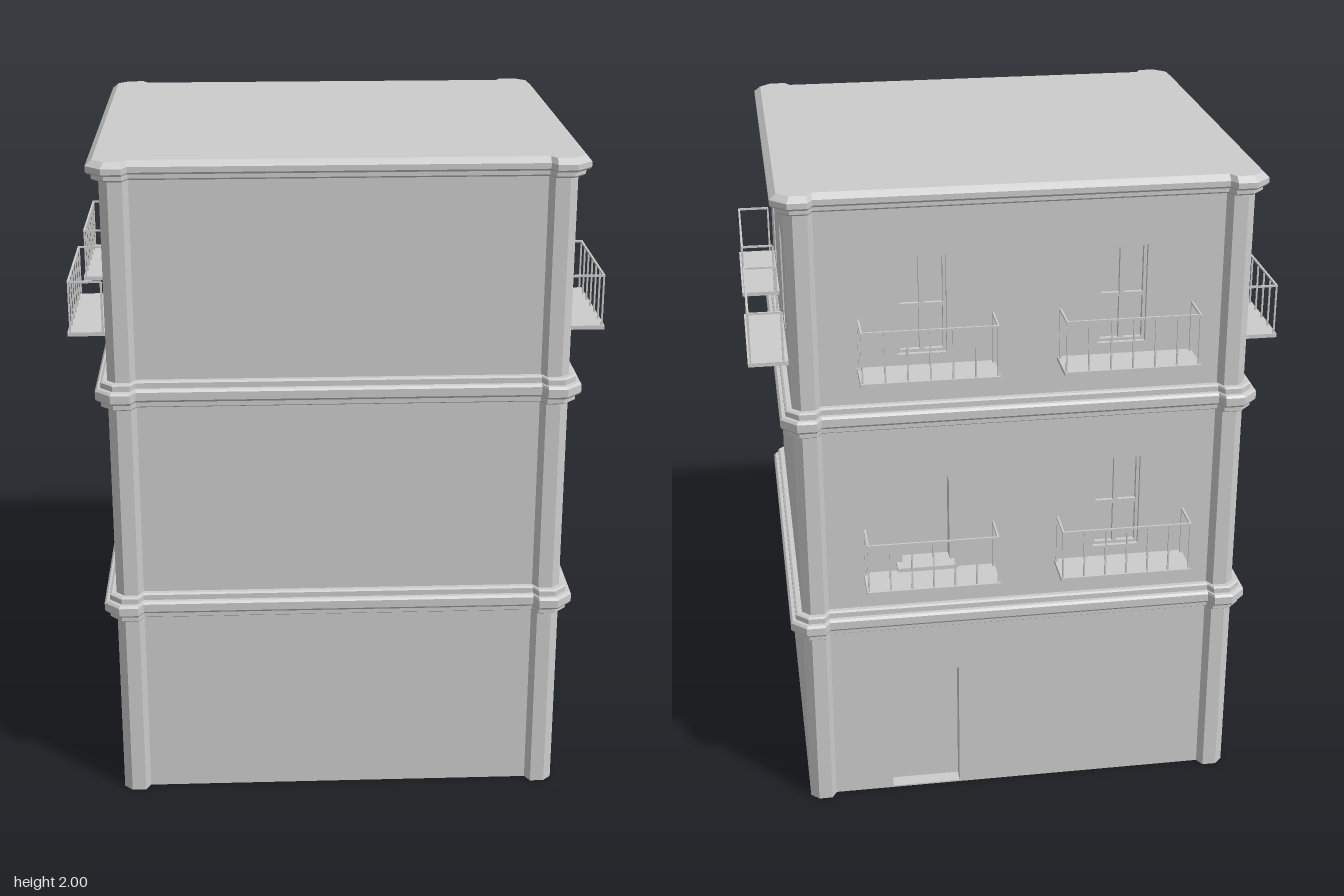
import * as THREE from 'three';

const grey = new THREE.MeshStandardMaterial({ color: 0xcccccc, flatShading: true, side: THREE.DoubleSide });
const CZ = 0.03; // depth centre of the building

function add(parent, name, geometry, x = 0, y = 0, z = 0) {
  const mesh = new THREE.Mesh(geometry, grey);
  mesh.name = name;
  mesh.position.set(x, y, z);
  parent.add(mesh);
  return mesh;
}
const box = (parent, name, w, h, d, x, y, z) => add(parent, name, new THREE.BoxGeometry(w, h, d), x, y, z);

// Plan of the building with corner pilasters, grown outward by d
function ring(d) {
  const q = [[0.59, 0.583 + d], [0.605, 0.61 + d], [0.647 + 0.41 * d, 0.61 + d], [0.672 + d, 0.585 + 0.41 * d]];
  const r = [...q].reverse();
  return [
    ...q, ...r.map(([x, z]) => [x, -z]),
    ...q.map(([x, z]) => [-x, -z]), ...r.map(([x, z]) => [-x, z]),
  ].map(([x, z]) => [x, z + CZ]);
}

// Vertical profile as [outward offset, height]
const band = (y) => [
  [0, y], [0.014, y], [0.02, y + 0.004], [0.02, y + 0.02], [0.03, y + 0.021], [0.036, y + 0.028],
  [0.036, y + 0.052], [0.03, y + 0.059], [0.02, y + 0.06], [0.02, y + 0.076], [0.014, y + 0.08], [0, y + 0.08],
];
const profile = [
  [0, 0], ...band(0.594), ...band(1.271),
  [0, 1.94], [0.015, 1.943], [0.02, 1.948], [0.02, 1.96], [0.03, 1.962], [0.035, 1.968], [0.035, 1.984], [0.016, 2],
];

// Lofted shell; storeys of the back and sides are left out for separate wall panels
function shellGeometry() {
  const pos = [];
  for (let k = 0; k < profile.length - 1; k++) {
    const [d0, y0] = profile[k], [d1, y1] = profile[k + 1];
    const lo = ring(d0), hi = ring(d1);
    for (let i = 0; i < lo.length; i++) {
      if (y1 - y0 > 0.5 && [3, 7, 11].includes(i)) continue;
      const j = (i + 1) % lo.length;
      const a = [lo[i][0], y0, lo[i][1]], b = [lo[j][0], y0, lo[j][1]];
      const c = [hi[j][0], y1, hi[j][1]], e = [hi[i][0], y1, hi[i][1]];
      pos.push(...a, ...b, ...c, ...a, ...c, ...e);
    }
  }
  const g = new THREE.BufferGeometry();
  g.setAttribute('position', new THREE.Float32BufferAttribute(pos, 3));
  g.computeVertexNormals();
  return g;
}

// Outline of an opening {u, y, w, h, arch}, shrunk by inset
function outline(o, inset = 0, Type = THREE.Path) {
  const l = o.u - o.w / 2 + inset, r = o.u + o.w / 2 - inset;
  const b = o.y + inset, t = o.y + o.h - inset;
  const p = new Type();
  p.moveTo(l, b);
  p.lineTo(r, b);
  if (o.arch) {
    const rad = (r - l) / 2;
    p.lineTo(r, t - rad);
    p.absarc(o.u, t - rad, rad, 0, Math.PI, false);
  } else {
    p.lineTo(r, t);
    p.lineTo(l, t);
  }
  p.lineTo(l, b);
  return p;
}

function surround(parent, name, o, inset, depth, z) {
  const s = outline(o, 0, THREE.Shape);
  s.holes.push(outline(o, inset));
  add(parent, name, new THREE.ExtrudeGeometry(s, { depth, bevelEnabled: false, curveSegments: 10 }), 0, 0, z);
}

function addOpening(parent, o) {
  const g = new THREE.Group();
  g.name = o.kind;
  const deep = o.kind === 'window' ? 0.03 : 0.045;
  surround(g, 'reveal', o, 0.003, deep, -deep);
  add(g, 'panel', new THREE.ShapeGeometry(outline(o, 0, THREE.Shape), 10), 0, 0, -deep);
  if (o.kind === 'window') {
    surround(g, 'frame', o, 0.012, 0.015, -0.028);
    box(g, 'mullion', 0.014, o.h, 0.014, o.u, o.y + o.h / 2, -0.022);
    box(g, 'transom', o.w, 0.012, 0.012, o.u, o.y + o.h * 0.48, -0.022);
  }
  parent.add(g);
}

function addBalcony(parent, u, y, depth) {
  const g = new THREE.Group();
  g.name = 'balcony';
  g.position.set(u, y, 0);
  const w = 0.4, h = 0.166, t = 0.006, out = depth - 0.008, half = w / 2 - 0.006;
  box(g, 'slab', w, 0.012, depth, 0, 0.006, depth / 2);
  box(g, 'frontRail', half * 2 + t, t, t, 0, h - t / 2, out);
  for (let i = 0; i <= 6; i++) box(g, 'baluster', 0.005, h - 0.01, 0.005, -half + (i * half) / 3, h / 2, out);
  for (const s of [-1, 1]) {
    box(g, 'sideRail', t, t, out - 0.014, s * half, h - t / 2, (out + 0.014) / 2);
    box(g, 'wallPost', t, h - 0.01, t, s * half, h / 2, 0.015);
  }
  parent.add(g);
}

const storeys = [[0, 0.594], [0.674, 1.271], [1.351, 1.94]];

// One facade made of a panel per storey, facing local +z
function addFacade(parent, name, halfWidth, openings, balconies, depth) {
  const g = new THREE.Group();
  g.name = name;
  for (const [y0, y1] of storeys) {
    const s = new THREE.Shape();
    s.moveTo(-halfWidth, y0);
    s.lineTo(halfWidth, y0);
    s.lineTo(halfWidth, y1);
    s.lineTo(-halfWidth, y1);
    s.closePath();
    for (const o of openings) if (o.y > y0 && o.y < y1) s.holes.push(outline(o));
    add(g, 'wallPanel', new THREE.ShapeGeometry(s, 10));
  }
  openings.forEach((o) => addOpening(g, o));
  balconies.forEach(([u, y]) => addBalcony(g, u, y, depth));
  parent.add(g);
  return g;
}

const windowAt = (u, y) => ({ kind: 'window', u, y, w: 0.148, h: 0.304 });

export function createModel() {
  const model = new THREE.Group();
  model.name = 'building';
  add(model, 'wallsAndCornices', shellGeometry());

  // Roof slab surface
  const roof = new THREE.Shape(ring(0.016).map(([x, z]) => new THREE.Vector2(x, -z)));
  add(model, 'roof', new THREE.ShapeGeometry(roof).rotateX(-Math.PI / 2), 0, 2, 0);

  // Side facades, mirrored
  for (const s of [1, -1]) {
    const side = addFacade(model, s > 0 ? 'leftFacade' : 'rightFacade', 0.585,
      [windowAt(-0.297 * s, 1.496), windowAt(0.291 * s, 1.496)],
      [[-0.283 * s, 1.453], [0.305 * s, 1.453]], 0.118);
    side.rotation.y = (s * Math.PI) / 2;
    side.position.set(s * 0.672, 0, CZ);
  }

  // Back facade with entrance, arched door and windows
  const back = addFacade(model, 'backFacade', 0.59, [
    { kind: 'entrance', u: -0.3, y: 0.002, w: 0.22, h: 0.43 },
    { kind: 'archedDoor', u: -0.29, y: 0.81, w: 0.15, h: 0.34, arch: true },
    windowAt(0.295, 0.823), windowAt(-0.29, 1.496), windowAt(0.295, 1.496),
  ], [[-0.28, 0.78], [0.305, 0.78], [-0.28, 1.453], [0.305, 1.453]], 0.125);
  back.rotation.y = Math.PI;
  back.position.z = CZ - 0.583;
  box(back, 'doorStep', 0.18, 0.012, 0.085, -0.29, 0.814, 0);

  // Small floor plate inside the ground storey
  add(model, 'floorPlate', new THREE.PlaneGeometry(0.44, 0.34).rotateX(Math.PI / 2), 0.2, 0.004, 0.16);
  return model;
}
